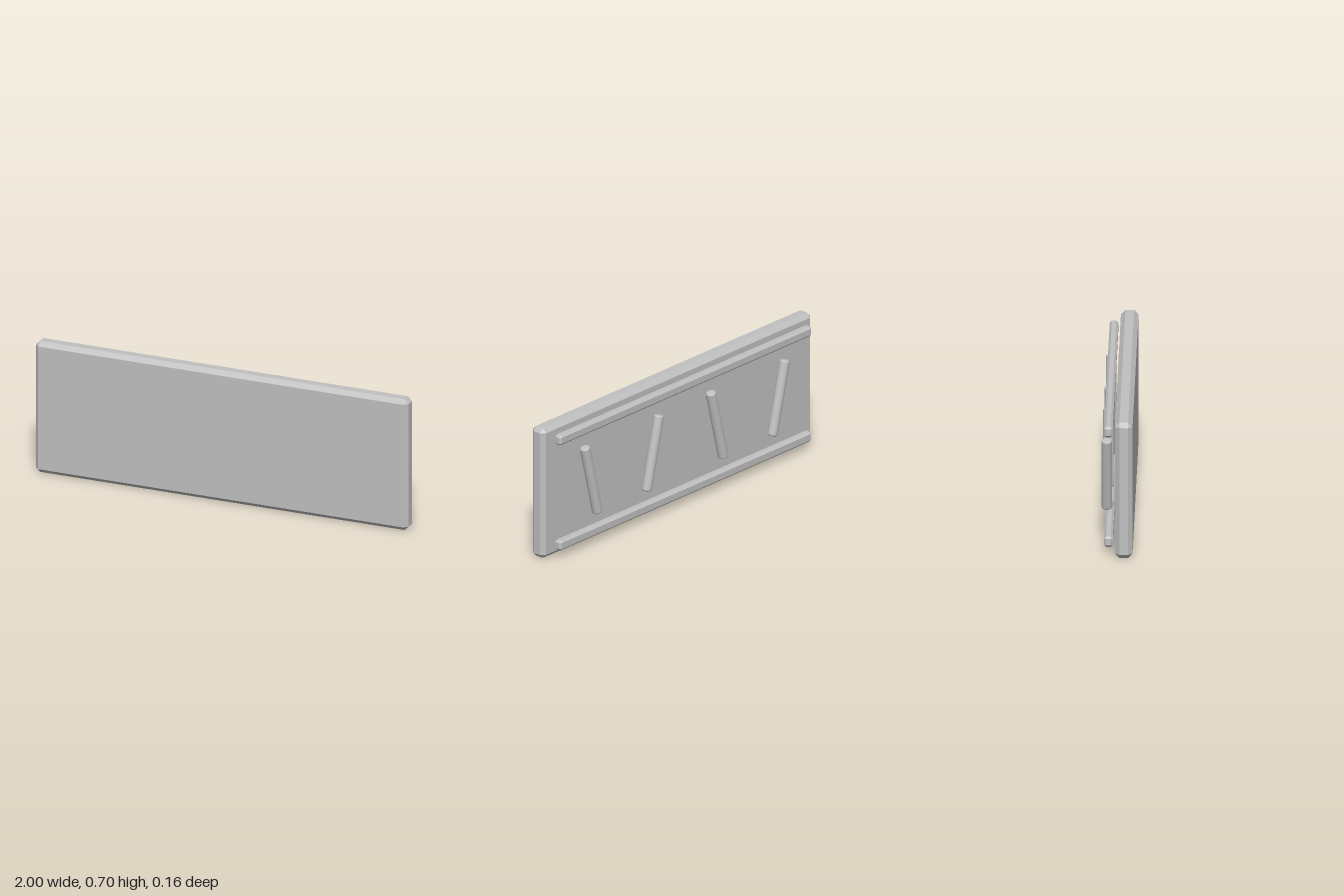
import * as THREE from 'three';
import { ConvexGeometry } from 'three/addons/geometries/ConvexGeometry.js';

// Box with every edge cut at 45 degrees
function chamferedBox(w, h, d, c) {
  const [x, y, z] = [w / 2, h / 2, d / 2];
  const points = [];
  for (const i of [-1, 1]) for (const j of [-1, 1]) for (const k of [-1, 1]) {
    points.push(
      new THREE.Vector3(i * x, j * (y - c), k * (z - c)),
      new THREE.Vector3(i * (x - c), j * y, k * (z - c)),
      new THREE.Vector3(i * (x - c), j * (y - c), k * z));
  }
  return new ConvexGeometry(points);
}

// Rod along y with rounded rims
function roundedRod(r, length, f) {
  const h = length / 2;
  const profile = [new THREE.Vector2(0, -h)];
  for (const s of [-1, 1]) for (let i = 0; i <= 4; i++) {
    const a = (s < 0 ? i - 4 : i) * Math.PI / 8;
    profile.push(new THREE.Vector2(r - f + f * Math.cos(a), s * (h - f) + f * Math.sin(a)));
  }
  profile.push(new THREE.Vector2(0, h));
  return new THREE.LatheGeometry(profile, 32);
}

export function createModel() {
  const model = new THREE.Group();
  model.name = 'panelBoard';
  const grey = new THREE.MeshStandardMaterial({ color: 0xc0c0c0 });
  grey.name = 'light grey';

  function add(name, geometry, x, y, z) {
    const mesh = new THREE.Mesh(geometry, grey);
    mesh.name = name;
    mesh.position.set(x, y, z);
    model.add(mesh);
    return mesh;
  }

  // Main board
  add('panel', chamferedBox(2, 0.696, 0.087, 0.022), 0, 0.348, 0.0355);

  // Long rails behind the board
  const rail = chamferedBox(1.868, 0.054, 0.043, 0.0108);
  add('lowerRail', rail, 0, 0.067, -0.041);
  add('upperRail', rail, 0, 0.631, -0.041);

  // Slanted rods, alternating in direction
  const rod = roundedRod(0.026, 0.388, 0.009);
  [-0.695, -0.238, 0.238, 0.695].forEach((x, i) => {
    add('rod' + (i + 1), rod, x, 0.348, -0.052).rotation.z = (i % 2 ? -1 : 1) * 0.244;
  });

  return model;
}
